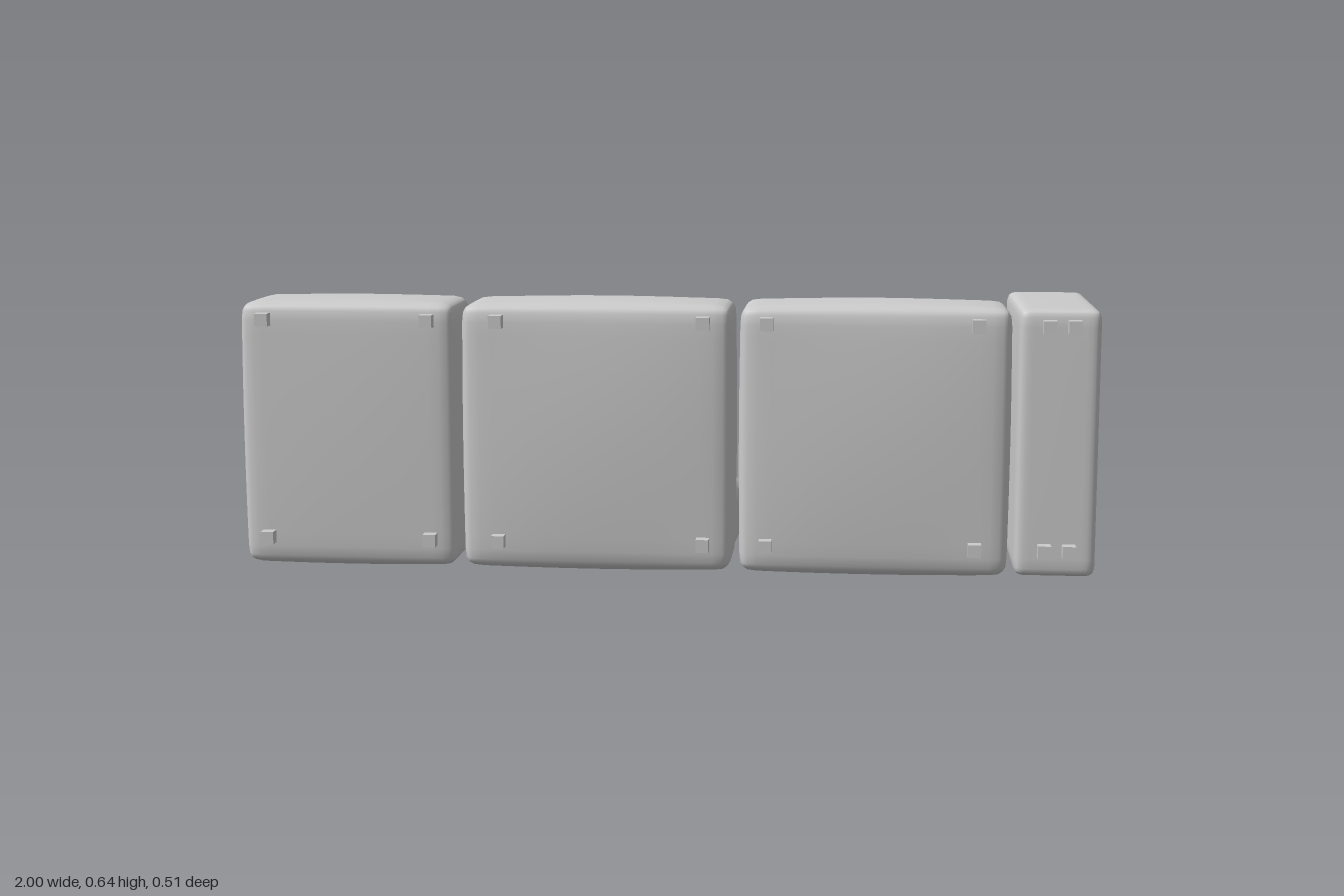
import * as THREE from 'three';
import { mergeVertices } from 'three/addons/utils/BufferGeometryUtils.js';

const material = new THREE.MeshStandardMaterial({ color: 0xcccccc });

// Box grid with corners in -1..1, reshaped by a rule and smoothed
function shapedBox(nx, ny, nz, rule) {
  let g = new THREE.BoxGeometry(2, 2, 2, nx, ny, nz);
  g.deleteAttribute('normal');
  g.deleteAttribute('uv');
  g = mergeVertices(g, 1e-4);
  const pos = g.attributes.position;
  const p = new THREE.Vector3();
  for (let i = 0; i < pos.count; i++) {
    p.fromBufferAttribute(pos, i);
    rule(p);
    pos.setXYZ(i, p.x, p.y, p.z);
  }
  g.computeVertexNormals();
  return g;
}

// Upholstered block between two corners: rounded edges, faces swelling by `bulge`
function cushion(name, min, max, radius, bulge) {
  const lo = new THREE.Vector3(...min);
  const hi = new THREE.Vector3(...max);
  const half = hi.clone().sub(lo).multiplyScalar(0.5);
  const swell = new THREE.Vector3(...bulge);
  half.sub(swell);
  const inner = half.clone().subScalar(radius);
  const innerMin = inner.clone().negate();
  const ease = (t) => Math.sin((t * Math.PI) / 2);
  const geometry = shapedBox(18, 18, 18, (p) => {
    p.set(ease(p.x), ease(p.y), ease(p.z)).multiply(half);
    const core = p.clone().clamp(innerMin, inner);
    p.sub(core).setLength(radius).add(core);
    const q = p.clone().divide(half);
    const fx = 1 - q.x * q.x, fy = 1 - q.y * q.y, fz = 1 - q.z * q.z;
    p.x += swell.x * q.x * fy * fz;
    p.y += swell.y * q.y * fx * fz;
    p.z += swell.z * q.z * fx * fy;
  });
  const mesh = new THREE.Mesh(geometry, material);
  mesh.name = name;
  mesh.position.copy(lo).add(hi).multiplyScalar(0.5);
  return mesh;
}

// Scatter pillow: thick in the middle, thin at the rim, edges drawn in between corners
function pillow(name, hx, hz, thickness, pinch) {
  const geometry = shapedBox(20, 2, 20, (p) => {
    const fu = 1 - p.x * p.x, fv = 1 - p.z * p.z;
    p.y *= 0.007 + thickness * Math.pow(Math.max(fu * fv, 0), 0.45);
    p.x *= hx * (1 - pinch * fv);
    p.z *= hz * (1 - pinch * fu);
  });
  const mesh = new THREE.Mesh(geometry, material);
  mesh.name = name;
  return mesh;
}

export function createModel() {
  const sofa = new THREE.Group();
  sofa.name = 'sofa';

  // Seat blocks, the first one being the open lounger
  sofa.add(
    cushion('loungerSeat', [-1, 0.002, -0.012], [-0.478, 0.64, 0.232], 0.03, [0.008, 0.009, 0.006]),
    cushion('middleSeat', [-0.474, 0, -0.012], [0.166, 0.642, 0.238], 0.03, [0.006, 0.011, 0.013]),
    cushion('endSeat', [0.174, 0, -0.012], [0.804, 0.642, 0.238], 0.03, [0.006, 0.011, 0.013]),
  );

  // Backrests
  sofa.add(
    cushion('middleBackrest', [-0.474, 0.005, -0.255], [0.166, 0.17, -0.017], 0.028, [0.006, 0.01, 0.009]),
    cushion('endBackrest', [0.174, 0.005, -0.255], [0.804, 0.17, -0.017], 0.028, [0.006, 0.01, 0.009]),
  );

  // Armrest
  sofa.add(cushion('armrest', [0.812, 0.013, -0.242], [1, 0.632, 0.226], 0.022, [0.001, 0.001, 0.001]));

  // Scatter pillows
  const flat = pillow('flatPillow', 0.157, 0.1, 0.034, 0.05);
  flat.position.set(0.363, 0.218, -0.112);
  flat.rotation.x = -0.28;
  const leaning = pillow('leaningPillow', 0.15, 0.097, 0.042, 0.14);
  leaning.position.set(0.668, 0.306, -0.107);
  leaning.rotation.set(-0.28, 0, 0.66, 'ZXY');
  sofa.add(flat, leaning);

  // Feet, two rows of four pairs
  const footGeometry = new THREE.BoxGeometry(0.03, 0.03, 0.035);
  for (const x of [-0.932, -0.545, -0.383, 0.096, 0.242, 0.722, 0.88, 0.936]) {
    for (const y of [0.077, 0.593]) {
      const foot = new THREE.Mesh(footGeometry, material);
      foot.name = 'foot';
      foot.position.set(x, y, 0.2375);
      sofa.add(foot);
    }
  }
  return sofa;
}
